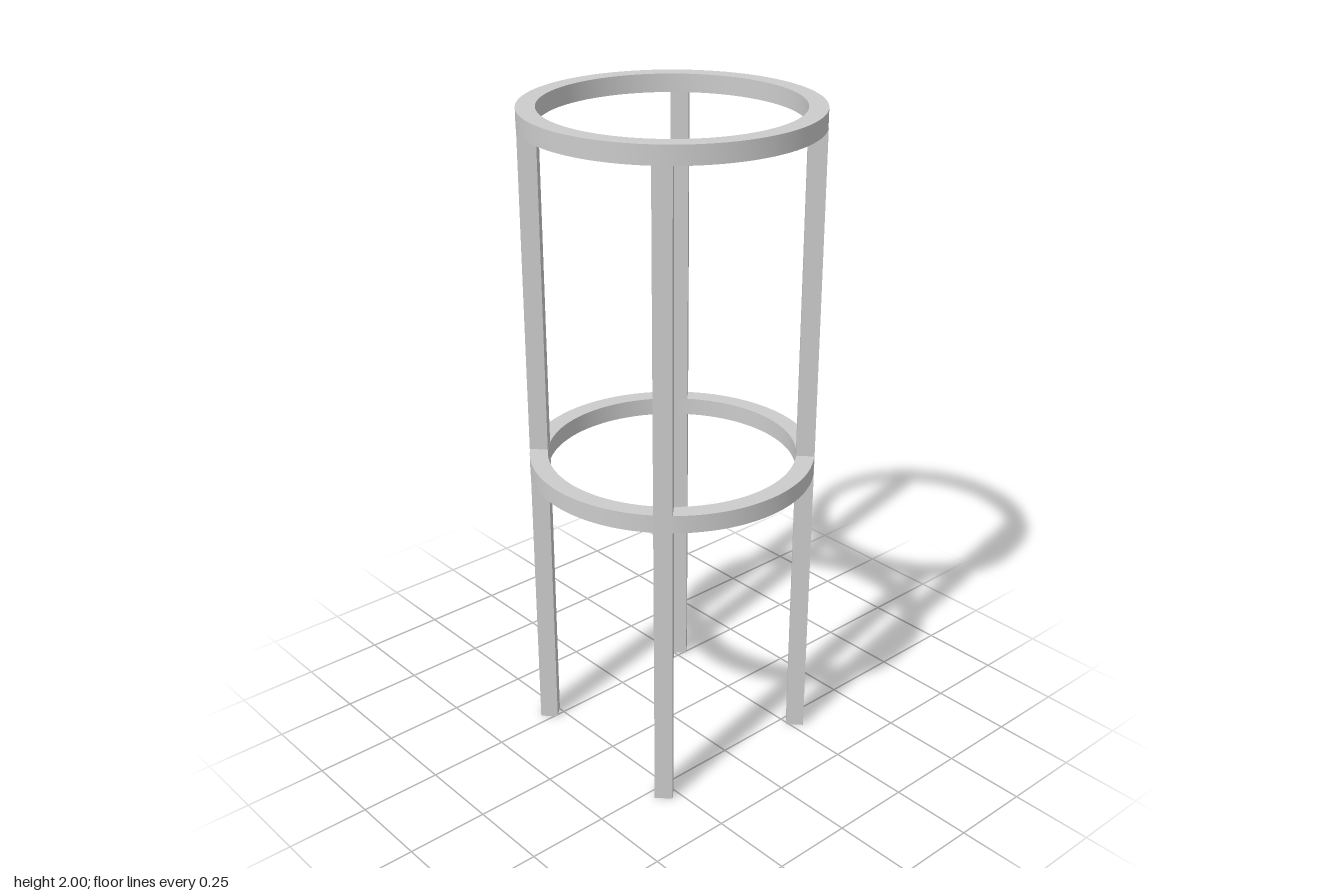
import * as THREE from 'three';
import { toCreasedNormals } from 'three/addons/utils/BufferGeometryUtils.js';

const OUTER = 0.424, INNER = 0.37, BAR = 0.054;
const MID = (OUTER + INNER) / 2;

export function createModel() {
  const group = new THREE.Group();
  const material = new THREE.MeshStandardMaterial({ color: 0xcccccc });

  // Rings: a square section turned around the y axis, with sharp edges
  const section = [
    [OUTER, 0], [OUTER, BAR], [INNER, BAR], [INNER, 0], [OUTER, 0],
  ].map(([r, y]) => new THREE.Vector2(r, y));
  const ringGeometry = toCreasedNormals(new THREE.LatheGeometry(section, 96), Math.PI / 6);

  const addRing = (name, bottom) => {
    const ring = new THREE.Mesh(ringGeometry, material);
    ring.name = name;
    ring.position.y = bottom;
    group.add(ring);
  };
  addRing('seatRing', 2 - BAR);
  addRing('footRing', 0.909);

  // Legs: square bars on the diagonals, each facing outwards
  const legHeight = 2 - BAR;
  const legGeometry = new THREE.BoxGeometry(BAR, legHeight, BAR);
  ['frontLeftLeg', 'backLeftLeg', 'backRightLeg', 'frontRightLeg'].forEach((name, i) => {
    const angle = Math.PI / 4 + (i * Math.PI) / 2;
    const leg = new THREE.Mesh(legGeometry, material);
    leg.name = name;
    leg.position.set(MID * Math.sin(angle), legHeight / 2, MID * Math.cos(angle));
    leg.rotation.y = angle;
    group.add(leg);
  });

  return group;
}
